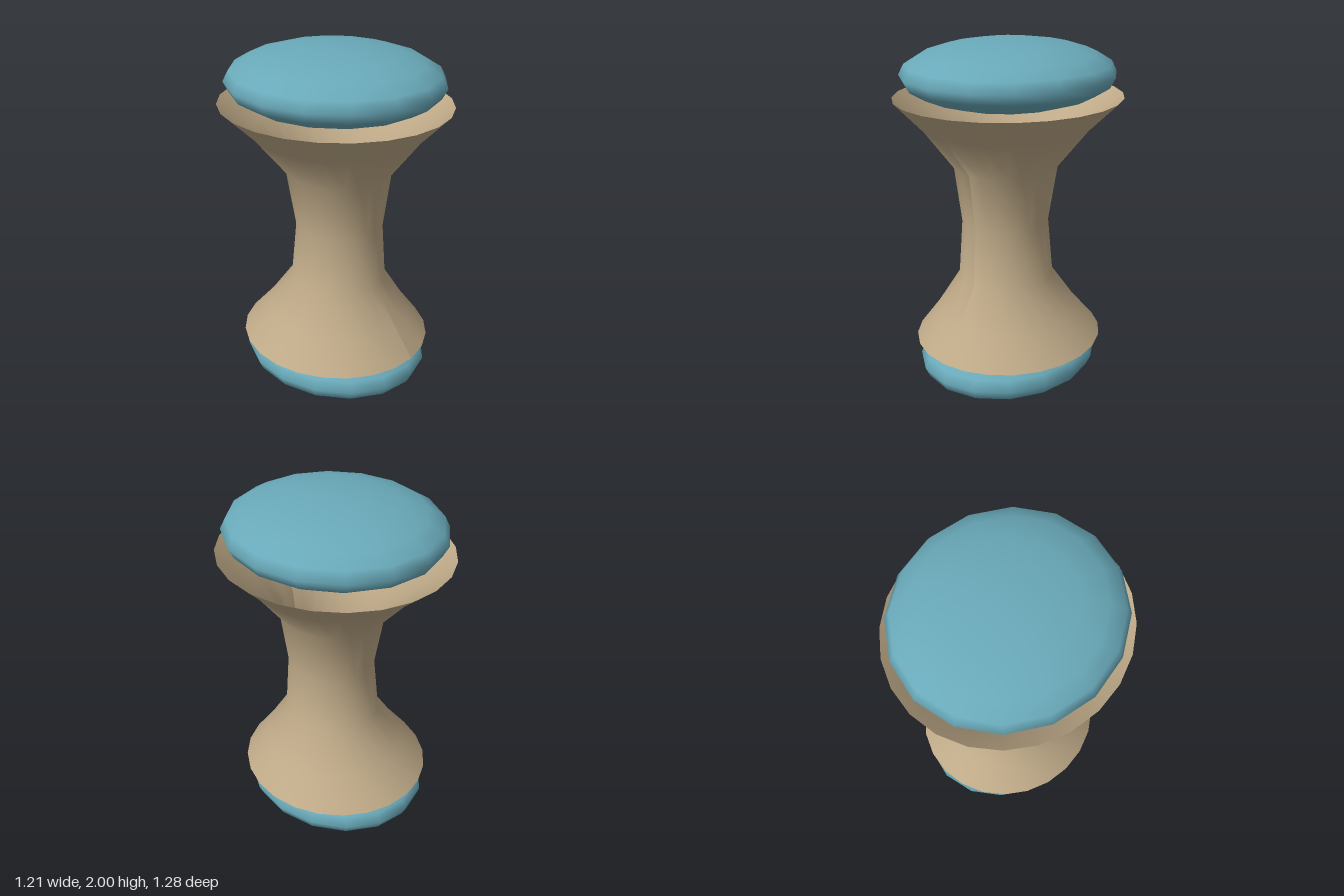
import * as THREE from 'three';

const teal = new THREE.MeshStandardMaterial({ color: 0x69a9b9 });
const tan = new THREE.MeshStandardMaterial({ color: 0xbfaa88, side: THREE.DoubleSide });

// Flattened ellipsoid pad
function cushion(name, y, rx, ry, rz) {
  const geo = new THREE.SphereGeometry(1, 16, 10);
  geo.scale(rx, ry, rz);
  const mesh = new THREE.Mesh(geo, teal);
  mesh.name = name;
  mesh.position.y = y;
  return mesh;
}

// Open waisted shell: a lathe, oval in plan, with the waist pushed slightly forward
function waistedBody() {
  const rings = [ // radius, height
    [0.522, 0.30], [0.40, 0.46], [0.26, 0.68], [0.235, 1.0],
    [0.28, 1.32], [0.448, 1.54], [0.605, 1.70],
  ];
  const geo = new THREE.LatheGeometry(rings.map(([r, y]) => new THREE.Vector2(r, y)), 24);
  const pos = geo.attributes.position;
  for (let i = 0; i < pos.count; i++) {
    const t = (pos.getY(i) - 1) / 0.7;
    pos.setZ(i, pos.getZ(i) * 1.06 + 0.03 * Math.max(0, 1 - t * t));
  }
  geo.computeVertexNormals();
  const mesh = new THREE.Mesh(geo, tan);
  mesh.name = 'waistedBody';
  return mesh;
}

export function createModel() {
  const group = new THREE.Group();
  group.name = 'stool';
  group.add(
    waistedBody(),
    cushion('seatCushion', 1.82, 0.565, 0.18, 0.6),
    cushion('baseCushion', 0.18, 0.483, 0.18, 0.555),
  );
  return group;
}
